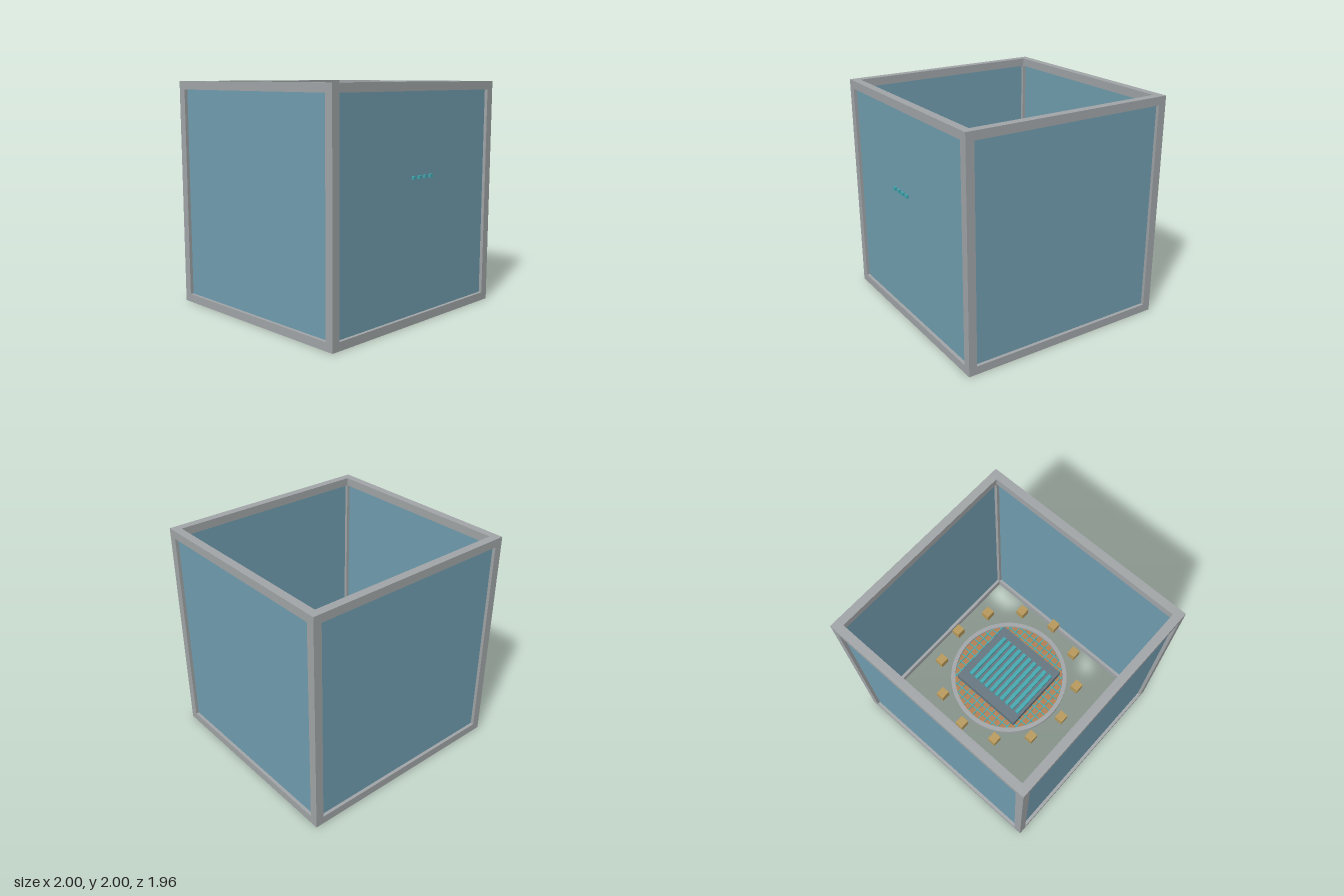
import * as THREE from 'three';

const mat = (name, color) => {
  const m = new THREE.MeshStandardMaterial({ color });
  m.name = name;
  return m;
};

export function createModel() {
  const frameGrey = mat('frame grey', 0xa2a6a8);
  const panelBlue = mat('panel blue', 0x719eb0);
  const copper = mat('copper brown', 0xb27f52);
  const slate = mat('slate grey', 0x64757f);
  const teal = mat('teal', 0x42a9b1);
  const brass = mat('brass tan', 0xb8995a);

  const model = new THREE.Group();
  model.name = 'chamber';
  const body = new THREE.Group(); // everything is centred on the frame
  body.name = 'body';
  body.position.z = -0.02;
  model.add(body);

  const add = (name, geo, material, x, y, z) => {
    const m = new THREE.Mesh(geo, material);
    m.name = name;
    m.position.set(x, y, z);
    body.add(m);
    return m;
  };
  const box = (name, material, w, h, d, x, y, z) =>
    add(name, new THREE.BoxGeometry(w, h, d), material, x, y, z);

  // Open cube frame: beams along x, y and z
  const W = 2, H = 2, D = 1.92, T = 0.073;
  const cx = (W - T) / 2, cz = (D - T) / 2;
  for (const s of [-1, 1]) {
    for (const y of [T / 2, H - T / 2]) {
      box('crossBeam', frameGrey, W, T, T, 0, y, s * cz);
      box('sideBeam', frameGrey, T, T, D - 2 * T, s * cx, y, 0);
    }
    for (const t of [-1, 1]) box('post', frameGrey, T, H - 2 * T, T, s * cx, 1, t * cz);
    // Thin panels set in the middle of the beams
    box('crossPanel', panelBlue, W - 2 * T, H - 2 * T, 0.015, 0, 1, s * cz);
    box('sidePanel', panelBlue, 0.015, H - 2 * T, D - 2 * T, s * cx, 1, 0);
  }

  // Round plate with a raised rim
  const R = 0.507, plateTop = 0.64;
  add('plate', new THREE.CylinderGeometry(R, R, 0.08, 64), copper, 0, plateTop - 0.04, 0);
  const rim = new THREE.Shape().absarc(0, 0, 0.546, 0, Math.PI * 2);
  rim.holes.push(new THREE.Path().absarc(0, 0, R, 0, Math.PI * 2, true));
  const rimGeo = new THREE.ExtrudeGeometry(rim, { depth: 0.04, bevelEnabled: false, curveSegments: 48 });
  add('rim', rimGeo.rotateX(-Math.PI / 2), frameGrey, 0, plateTop - 0.02, 0);

  // Wire mesh on the plate, each wire cut to the circle
  for (let i = -7; i <= 7; i++) {
    const p = i * 0.063;
    const len = 2 * Math.sqrt(R * R - p * p) - 0.01;
    box('meshWire', teal, len, 0.008, 0.009, 0, plateTop + 0.004, p);
    box('meshWire', teal, 0.009, 0.008, len, p, plateTop + 0.004, 0);
  }

  // Central block with a row of fins
  box('block', slate, 0.7, 0.19, 0.66, 0, 0.625, 0);
  for (let i = 0; i < 10; i++) {
    box('fin', teal, 0.034, 0.03, 0.48, -0.307 + i * 0.063, 0.735, 0);
  }

  // Ring of twelve small blocks
  for (let i = 0; i < 12; i++) {
    const a = (i / 12) * Math.PI * 2;
    box('ringBlock', brass, 0.077, 0.08, 0.083, 0.643 * Math.cos(a), 0.73, 0.643 * Math.sin(a));
  }

  // Four small buttons in front
  for (let i = 0; i < 4; i++) {
    box('button', teal, 0.035, 0.028, 0.02, -0.112 + i * 0.0708, 1.24, 0.99);
  }

  return model;
}
